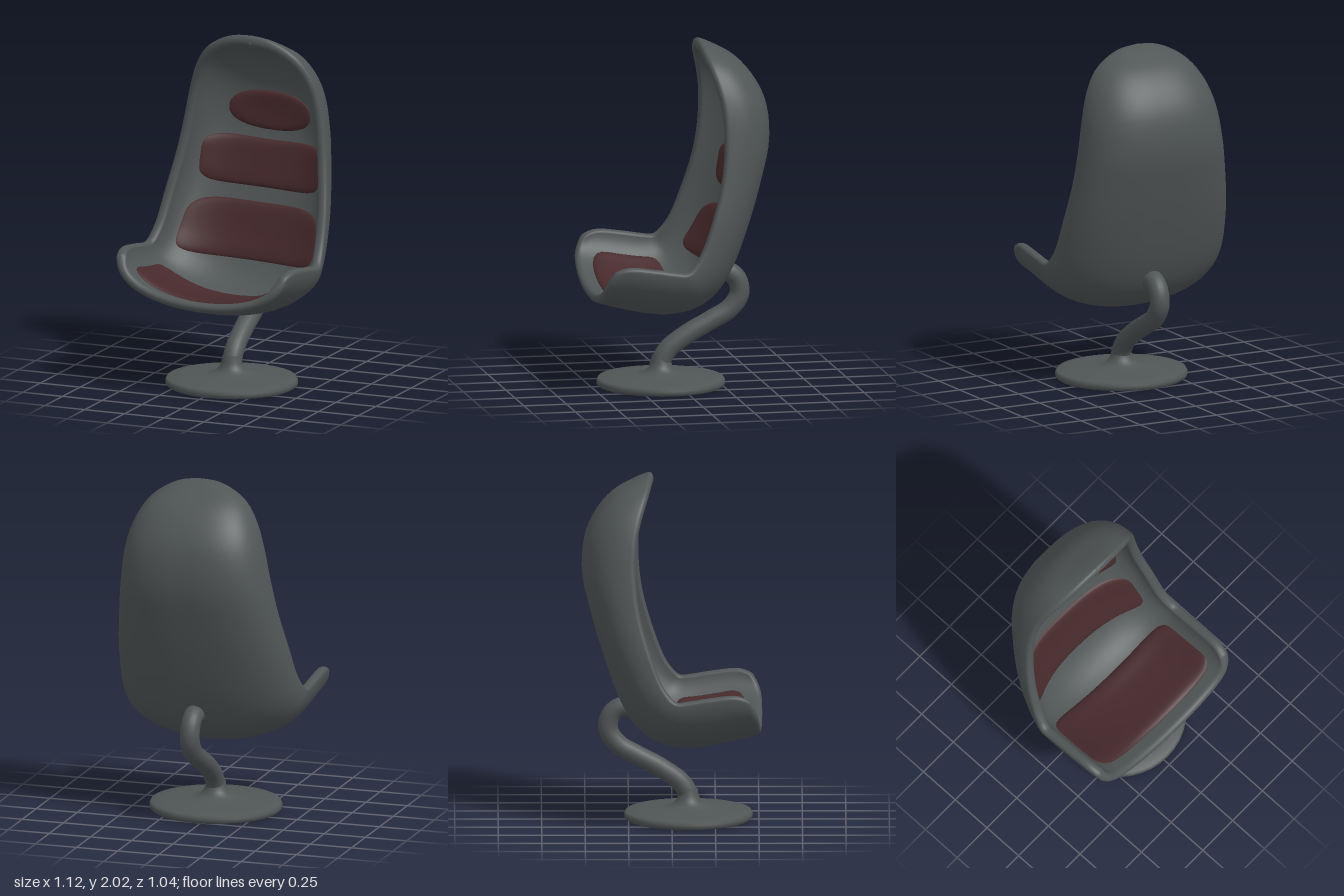
import * as THREE from 'three';

const grey = new THREE.MeshStandardMaterial({ color: 0x505556 });
grey.name = 'graphite grey';
const red = new THREE.MeshStandardMaterial({ color: 0x46292b });
red.name = 'dark red fabric';

const R = 0.029; // half thickness of the shell

// Sections of the shell from seat front to crown: spine y, z, then rim half width, y, z
const sections = [
  [0.55, 0.515, 0.495, 0.75, 0.505], [0.512, 0.385, 0.524, 0.802, 0.385],
  [0.474, 0.22, 0.53, 0.79, 0.23], [0.461, 0.07, 0.53, 0.77, 0.105],
  [0.5, -0.085, 0.53, 0.765, 0.035], [0.592, -0.198, 0.518, 0.803, -0.007],
  [0.74, -0.28, 0.505, 0.873, -0.053], [1.0, -0.372, 0.485, 1.035, -0.115],
  [1.25, -0.445, 0.45, 1.25, -0.175], [1.45, -0.489, 0.42, 1.45, -0.2],
  [1.65, -0.476, 0.385, 1.65, -0.197], [1.78, -0.418, 0.342, 1.78, -0.173],
  [1.88, -0.333, 0.275, 1.885, -0.142], [1.94, -0.235, 0.185, 1.95, -0.122],
  [1.975, -0.165, 0.1, 1.984, -0.113], [1.997, -0.11, 0, 1.997, -0.11],
];
const spine = new THREE.CatmullRomCurve3(sections.map((s) => new THREE.Vector3(0, s[0], s[1])));
const edge = new THREE.CatmullRomCurve3(sections.map((s) => new THREE.Vector3(s[2], s[3], s[4])));

// Sections are superellipses, squarer in the back than in the seat
const squareness = (t) => 2.1 + 0.5 * THREE.MathUtils.smoothstep(t, 0.25, 0.5);

// Middle surface of the shell: u runs across (-1..1), t from the seat front to the crown
function surface(u, t) {
  const c = spine.getPoint(t), e = edge.getPoint(t), n = squareness(t);
  const s = Math.sin((u * Math.PI) / 2), d = Math.cos((u * Math.PI) / 2);
  const m = (Math.abs(s) ** n + Math.abs(d) ** n) ** (-1 / n), k = 1 - d * m;
  return new THREE.Vector3(e.x * s * m, c.y + (e.y - c.y) * k, c.z + (e.z - c.z) * k);
}

// Point at a distance from the middle surface, positive towards the sitter
function offset(u, t, d) {
  const h = 0.004, tn = THREE.MathUtils.clamp(t, h, 0.975);
  const du = surface(u + h, tn).sub(surface(u - h, tn));
  const dt = surface(u, tn + h).sub(surface(u, tn - h));
  return surface(u, t).addScaledVector(du.cross(dt).normalize(), d);
}

// Surface grid from a function of two values in 0..1
function grid(nu, nv, f, flip = false) {
  const pos = [], index = [];
  for (let j = 0; j <= nv; j++)
    for (let i = 0; i <= nu; i++) pos.push(...f(i / nu, j / nv).toArray());
  for (let j = 0; j < nv; j++)
    for (let i = 0; i < nu; i++) {
      const a = j * (nu + 1) + i, b = a + 1, c = a + nu + 1, d = c + 1;
      index.push(...(flip ? [a, c, b, b, c, d] : [a, b, c, b, d, c]));
    }
  const g = new THREE.BufferGeometry();
  g.setAttribute('position', new THREE.Float32BufferAttribute(pos, 3));
  g.setIndex(index);
  g.computeVertexNormals();
  return g;
}

function add(parent, name, geometry, material) {
  const mesh = new THREE.Mesh(geometry, material);
  mesh.name = name;
  parent.add(mesh);
  return mesh;
}

// Quarter-circle rise used to round the rim over its first R of width
const rounded = (x) => Math.sqrt(1 - (1 - THREE.MathUtils.clamp(x / R, 0, 1)) ** 2);

// One face of the shell; both faces meet in a rounded rim and the front corners are rounded
function shellFace(side) {
  return grid(72, 84, (i, j) => {
    const u = Math.sin((i - 0.5) * Math.PI), t0 = (1 - Math.cos(j * Math.PI)) / 2;
    const t = Math.min(t0 + (1 - t0) * 0.03 * Math.abs(u) ** 8, 1);
    const toSide = (1 - Math.abs(u)) * 1.25 * edge.getPoint(t).x;
    return offset(u, t, side * R * rounded(toSide) * rounded(t0 * 1.7));
  }, side < 0);
}

// Finds (u, t) for a given x and a given height (axis y) or depth (axis z)
function locate(x, v, axis) {
  let [lo, hi] = axis === 'y' ? [0.26, 0.9] : [0, 0.33];
  let u = 0;
  for (let i = 0; i < 24; i++) {
    const t = (lo + hi) / 2, n = squareness(t);
    const s = Math.min(Math.abs(x) / edge.getPoint(t).x, 1);
    u = (Math.sign(x) * Math.atan2(s, (1 - s ** n) ** (1 / n)) * 2) / Math.PI;
    const p = surface(u, t)[axis];
    if (axis === 'y' ? p < v : p > v) lo = t;
    else hi = t;
  }
  return [u, (lo + hi) / 2];
}

// Padded cushion with a rounded outline lying on the inside of the shell;
// bow lifts the corners of its upper edge
function cushion({ half, from, to, axis, n, bow = 0, taper = 0, pad = 0.026 }) {
  const mid = (from + to) / 2, size = (to - from) / 2;
  return grid(64, 14, (s, q) => {
    const a = s * Math.PI * 2, rho = Math.min(Math.sin((q * Math.PI) / 2), 1);
    const c = Math.cos(a), d = Math.sin(a);
    const k = rho * (Math.abs(c) ** n + Math.abs(d) ** n) ** (-1 / n);
    const x = half * k * c * (1 - taper * k * d);
    const v = mid + size * k * d + (bow * (k * c) ** 2 * (1 + k * d)) / 2;
    const [u, t] = locate(x, v, axis);
    return offset(u, t, R - 0.006 + pad * Math.sqrt(1 - rho ** 6));
  }, axis === 'y');
}

export function createModel() {
  const model = new THREE.Group();
  model.name = 'loungeChair';

  // Seat shell, turned and leaning very slightly
  const seat = new THREE.Group();
  seat.name = 'seat';
  seat.rotation.set(0, -0.02, -0.035);
  seat.position.x = -0.026;
  model.add(seat);
  add(seat, 'shellInside', shellFace(1), grey);
  add(seat, 'shellOutside', shellFace(-1), grey);

  // Cushions
  const cushions = {
    seatCushion: { half: 0.482, from: -0.012, to: 0.428, axis: 'z', n: 7, pad: 0.036 },
    lowerBackCushion: { half: 0.452, from: 0.655, to: 0.98, axis: 'y', n: 4.5, bow: 0.015, taper: 0.05 },
    upperBackCushion: { half: 0.405, from: 1.06, to: 1.332, axis: 'y', n: 4.5, bow: 0.035 },
    headCushion: { half: 0.272, from: 1.385, to: 1.628, axis: 'y', n: 2.3 },
  };
  for (const [name, spec] of Object.entries(cushions))
    add(seat, name, cushion(spec), red);

  // Round foot flaring up into the stem, hollow at the centre below
  const profile = [
    [0, 0.12], [0.045, 0.1], [0.072, 0.06], [0.1, 0.026], [0.14, 0.014], [0.35, 0.01], [0.37, 0],
    [0.383, 0.01], [0.385, 0.03], [0.375, 0.048], [0.3, 0.058], [0.15, 0.068],
    [0.098, 0.082], [0.072, 0.108], [0.06, 0.14], [0.054, 0.18],
  ].map((p) => new THREE.Vector2(...p));
  const foot = add(model, 'foot', new THREE.LatheGeometry(profile, 40), grey);
  foot.position.set(0.025, 0, 0.095);
  foot.scale.z = 0.962;

  // Bent stem from the foot to the back of the shell
  const path = [
    [0.11, 0.095], [0.155, 0.088], [0.215, 0.048], [0.3, -0.07], [0.37, -0.2],
    [0.435, -0.31], [0.52, -0.367], [0.605, -0.352], [0.65, -0.3], [0.65, -0.24],
  ].map(([y, z]) => new THREE.Vector3(0.027, y, z));
  add(model, 'stem', new THREE.TubeGeometry(new THREE.CatmullRomCurve3(path), 60, 0.057, 20), grey);

  return model;
}
